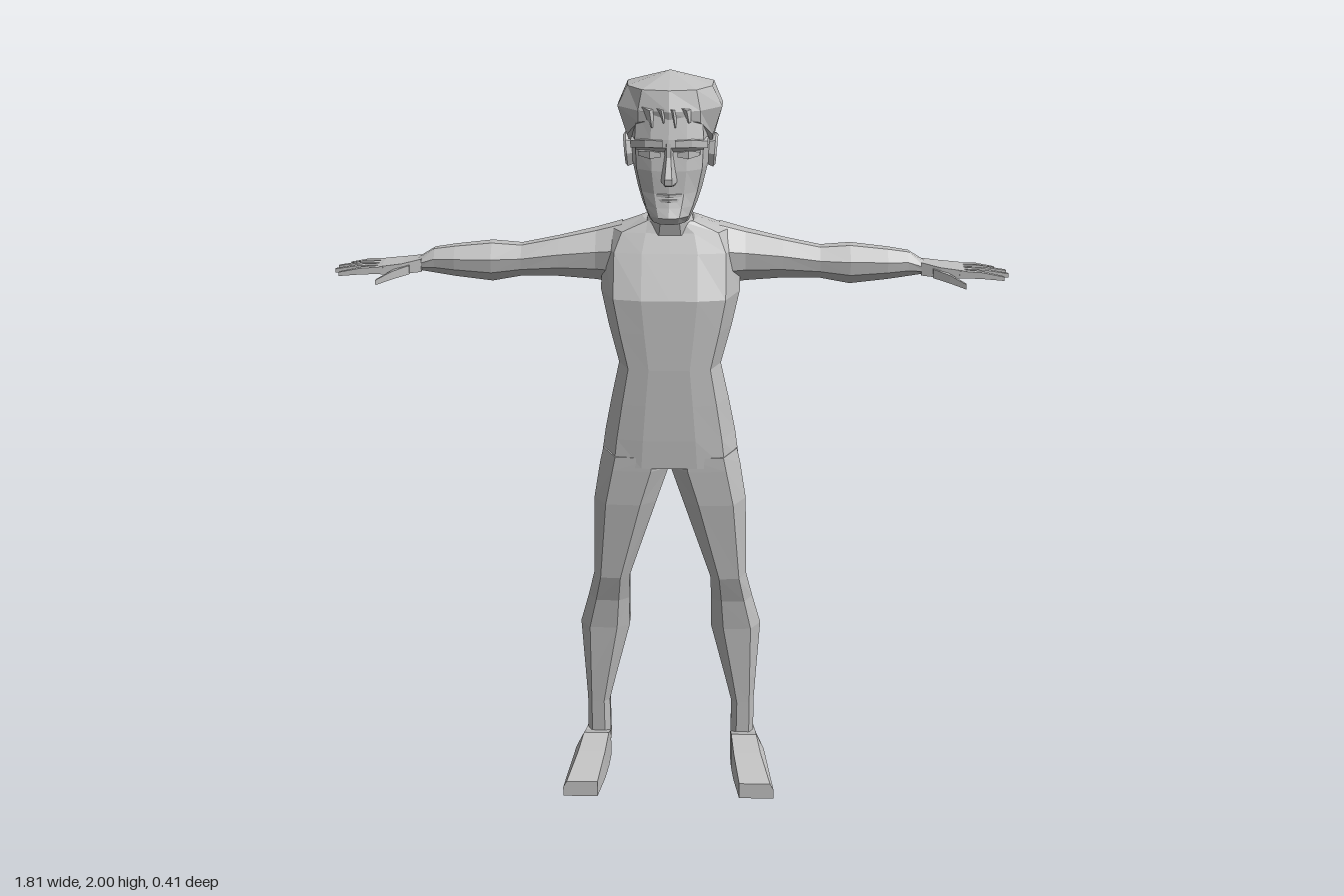
import * as THREE from 'three';

const clay = new THREE.MeshStandardMaterial({ color: 0xc0c0c0 });

// Faceted skin over matching rings of [x, y, z]; closes both ends and turns faces outward.
function loft(name, rings) {
  const tris = [];
  const n = rings[0].length;
  const mid = (r) => [0, 1, 2].map((k) => r.reduce((s, p) => s + p[k], 0) / n);
  const first = rings[0], last = rings[rings.length - 1];
  const a = mid(first), b = mid(last);
  for (let j = 0; j < n; j++) {
    const k = (j + 1) % n;
    for (let i = 0; i < rings.length - 1; i++) {
      const p = rings[i], q = rings[i + 1];
      tris.push([p[j], p[k], q[k]], [p[j], q[k], q[j]]);
    }
    tris.push([a, first[k], first[j]], [b, last[j], last[k]]);
  }
  const V = (p) => new THREE.Vector3(...p);
  const o = V(a);
  let volume = 0;
  for (const t of tris) {
    const [p, q, r] = t.map((v) => V(v).sub(o));
    volume += p.dot(q.cross(r));
  }
  if (volume < 0) tris.forEach((t) => t.reverse());
  const g = new THREE.BufferGeometry();
  g.setAttribute('position', new THREE.Float32BufferAttribute(tris.flat(2), 3));
  g.computeVertexNormals();
  const mesh = new THREE.Mesh(g, clay);
  mesh.name = name;
  return mesh;
}

// Completes a half outline running from front centre to back centre
const mirrorRing = (half) => [...half, ...half.slice(1, -1).reverse().map(([x, y, z]) => [-x, y, z])];

const torsoRing = ([y, w, zf, zb]) => {
  const d = zf - zb;
  return mirrorRing([[0, y, zf], [w * 0.4, y, zf], [w * 0.8, y, zf - 0.06 * d], [w, y, zf - 0.45 * d],
    [w * 0.93, y, zf - 0.74 * d], [w * 0.55, y, zb + 0.06 * d], [0, y, zb]]);
};

const faceRing = ([y, w, zf, zb]) => mirrorRing([[0, y, zf], [w * 0.45, y, zf - 0.006],
  [w * 0.85, y, zf - 0.035], [w, y, zf * 0.35 + zb * 0.65], [w * 0.75, y, zb], [0, y, zb]]);

// Eight-sided section, given extents along two axes
const OCT = [[0.25, 1], [0.8, 0.97], [1, 0.6], [0.9, 0.2], [0.5, 0], [0.15, 0.08], [0, 0.35], [0, 0.8]];
const legRing = (s) => ([y, xi, xo, zf, zb]) =>
  OCT.map(([u, v]) => [s * (xi + u * (xo - xi)), y, zb + v * (zf - zb)]);
const ARM = [[0.3, 1], [0.65, 1], [1, 0.65], [0.95, 0.3], [0.6, 0], [0.3, 0], [0, 0.35], [0.05, 0.7]];
const armRing = (s) => ([x, yb, yt, zb, zf]) =>
  ARM.map(([u, v]) => [s * x, yb + v * (yt - yb), zb + u * (zf - zb)]);
const boxRingX = (s) => ([x, yb, yt, zb, zf]) =>
  [[s * x, yb, zb], [s * x, yt, zb], [s * x, yt, zf], [s * x, yb, zf]];
const boxRingZ = (s) => ([z, xi, xo, yb, yt, bevel = 0]) =>
  [[s * xi, yb, z], [s * xi, yt, z], [s * (xo - bevel), yt, z], [s * xo, yt * 0.6, z], [s * xo, yb, z]];

// Tapered four-sided finger from a to b
function finger(name, s, a, b, r) {
  const ring = ([x, y, z], t) => [[s * x, y - t, z - t], [s * x, y + t, z - t], [s * x, y + t, z + t], [s * x, y - t, z + t]];
  const m = a.map((v, i) => (v + b[i]) / 2 + (i === 1 ? 0.003 : 0));
  return loft(name, [ring(a, r), ring(m, r * 0.9), ring(b, r * 0.55)]);
}

function buildHead() {
  const head = new THREE.Group();
  head.name = 'head';

  head.add(loft('face', [
    [1.91, 0.1, 0.128, -0.09], [1.845, 0.104, 0.143, -0.09], [1.825, 0.104, 0.145, -0.09],
    [1.81, 0.103, 0.122, -0.09], [1.76, 0.1, 0.128, -0.085], [1.7, 0.085, 0.128, -0.05],
    [1.665, 0.072, 0.138, -0.01], [1.64, 0.06, 0.148, 0.015], [1.62, 0.05, 0.13, 0.035],
  ].map(faceRing)));

  // Hair cap: crown point, two widening bands, then a taper to the nape
  const crown = Array(6).fill([0, 2, -0.01]);
  head.add(loft('hair', [
    crown,
    [[0, 1.967, 0.12], [0.07, 1.967, 0.105], [0.11, 1.967, 0.04], [0.113, 1.965, -0.06], [0.085, 1.955, -0.125], [0, 1.95, -0.155]],
    [[0, 1.915, 0.137], [0.08, 1.915, 0.115], [0.136, 1.915, 0.045], [0.137, 1.91, -0.05], [0.124, 1.9, -0.14], [0, 1.88, -0.205]],
    [[0, 1.895, 0.132], [0.08, 1.885, 0.112], [0.112, 1.84, 0.04], [0.108, 1.8, -0.05], [0.065, 1.735, -0.085], [0, 1.725, -0.098]],
  ].map(mirrorRing)));

  // Short pointed fringe tufts
  [-0.055, -0.025, 0.005, 0.04].forEach((x, i) => {
    const y = 1.875 + (i % 2) * 0.012;
    head.add(loft('fringeTuft', [
      [[x - 0.016, 1.925, 0.115], [x + 0.018, 1.92, 0.115], [x + 0.006, 1.92, 0.143]],
      [[x + 0.006, y, 0.12], [x + 0.016, y, 0.12], [x + 0.012, y, 0.141]],
    ]));
  });

  head.add(loft('nose', [[1.835, 0.012, 0.145], [1.8, 0.011, 0.148], [1.75, 0.018, 0.18], [1.733, 0.02, 0.178], [1.722, 0.015, 0.14]]
    .map(([y, w, z]) => [[-w * 1.2, y, 0.11], [-w * 0.5, y, z], [w * 0.5, y, z], [w * 1.2, y, 0.11]])));
  [[1.697, 0.034, 0.136], [1.684, 0.028, 0.139]].forEach(([y, w, z]) => head.add(loft('lip', [-w, 0, w].map((x) => {
    const f = x === 0 ? z : z - 0.012;
    return [[x, y - 0.005, 0.11], [x, y + 0.005, 0.11], [x, y + 0.003, f], [x, y - 0.004, f]];
  }))));

  for (const s of [1, -1]) {
    head.add(loft('brow', [[0.016, 1.826, 1.844, 0.11, 0.153], [0.06, 1.826, 1.845, 0.1, 0.144], [0.1, 1.818, 1.836, 0.05, 0.108]].map(boxRingX(s))));
    head.add(loft('eye', [[0.022, 1.797, 1.808, 0.1, 0.126], [0.05, 1.793, 1.814, 0.1, 0.129], [0.08, 1.799, 1.808, 0.08, 0.112]].map(boxRingX(s))));
    // Ear leans outward from the side of the head
    const ear = [[1.832, -0.03], [1.83, -0.05], [1.79, -0.058], [1.745, -0.03], [1.745, -0.012], [1.78, 0], [1.815, -0.008]];
    head.add(loft('ear', [[0.092, 0.8], [0.116, 1], [0.122, 0.85], [0.113, 0.4]].map(([x, k]) =>
      ear.map(([y, z]) => [s * (x + (y - 1.79) * 0.08), 1.79 + (y - 1.79) * k, -0.028 + (z + 0.028) * k]))));
  }
  return head;
}

function buildArm(s) {
  const arm = new THREE.Group();
  arm.name = s > 0 ? 'leftArm' : 'rightArm';
  arm.add(loft('armLimb', [
    [0.13, 1.42, 1.585, -0.135, 0.04], [0.2, 1.43, 1.565, -0.125, 0.018], [0.3, 1.44, 1.545, -0.097, 0.012],
    [0.4, 1.44, 1.525, -0.092, 0.008], [0.48, 1.425, 1.53, -0.103, 0.012], [0.58, 1.437, 1.52, -0.09, 0.002],
    [0.635, 1.445, 1.512, -0.08, -0.01], [0.68, 1.452, 1.485, -0.072, -0.018],
  ].map(armRing(s))));
  arm.add(loft('palm', [
    [0.67, 1.452, 1.487, -0.072, -0.016], [0.72, 1.45, 1.478, -0.086, 0.0], [0.775, 1.45, 1.472, -0.09, 0.006], [0.79, 1.452, 1.468, -0.086, 0.004],
  ].map(boxRingX(s))));
  [[-0.08, 0.872, -0.097], [-0.054, 0.9, -0.063], [-0.028, 0.903, -0.026], [-0.003, 0.888, 0.009]]
    .forEach(([z, tip, tz]) => arm.add(finger('finger', s, [0.77, 1.461, z], [tip, 1.452, tz], 0.0095)));
  arm.add(finger('thumb', s, [0.7, 1.462, -0.01], [0.785, 1.438, 0.042], 0.012));
  return arm;
}

function buildLeg(s) {
  const leg = new THREE.Group();
  leg.name = s > 0 ? 'leftLeg' : 'rightLeg';
  leg.add(loft('legLimb', [
    [0.97, 0, 0.183, 0.107, -0.122], [0.93, 0.003, 0.192, 0.105, -0.112], [0.83, 0.037, 0.208, 0.096, -0.085],
    [0.6, 0.112, 0.212, 0.06, -0.066], [0.52, 0.115, 0.23, 0.03, -0.092], [0.43, 0.115, 0.254, 0.014, -0.118],
    [0.27, 0.155, 0.243, -0.002, -0.095], [0.19, 0.174, 0.238, -0.01, -0.093], [0.06, 0.172, 0.238, -0.02, -0.096],
  ].map(legRing(s))));
  leg.add(loft('foot', [
    [-0.097, 0.176, 0.235, 0.012, 0.09], [-0.03, 0.172, 0.245, 0.008, 0.09], [0.03, 0.175, 0.268, 0.005, 0.11, 0.022],
    [0.1, 0.182, 0.278, 0.002, 0.086, 0.02], [0.205, 0.198, 0.294, 0, 0.045, 0.01],
  ].map(boxRingZ(s))));
  return leg;
}

export function createModel() {
  const figure = new THREE.Group();
  figure.name = 'figure';
  figure.add(loft('torso', [
    [1.605, 0.075, 0.025, -0.108], [1.575, 0.16, 0.035, -0.125], [1.525, 0.185, 0.06, -0.14],
    [1.41, 0.186, 0.113, -0.157], [1.32, 0.165, 0.114, -0.112], [1.22, 0.137, 0.115, -0.07],
    [1.12, 0.158, 0.113, -0.102], [1.02, 0.177, 0.11, -0.137], [0.94, 0.188, 0.106, -0.115],
  ].map(torsoRing)));

  // Eight-sided neck
  const neckRing = ([y, w, zf, zb]) => Array.from({ length: 8 }, (_, i) => {
    const t = (i + 0.5) * Math.PI / 4;
    return [w * Math.sin(t) * 1.08, y, (zf + zb) / 2 + (zf - zb) / 2 * Math.cos(t) * 1.08];
  });
  figure.add(loft('neck', [[1.57, 0.07, 0.04, -0.095], [1.605, 0.062, 0.05, -0.088], [1.64, 0.054, 0.035, -0.085], [1.76, 0.056, 0.03, -0.085]].map(neckRing)));

  figure.add(buildHead());
  for (const s of [1, -1]) figure.add(buildArm(s), buildLeg(s));
  return figure;
}
